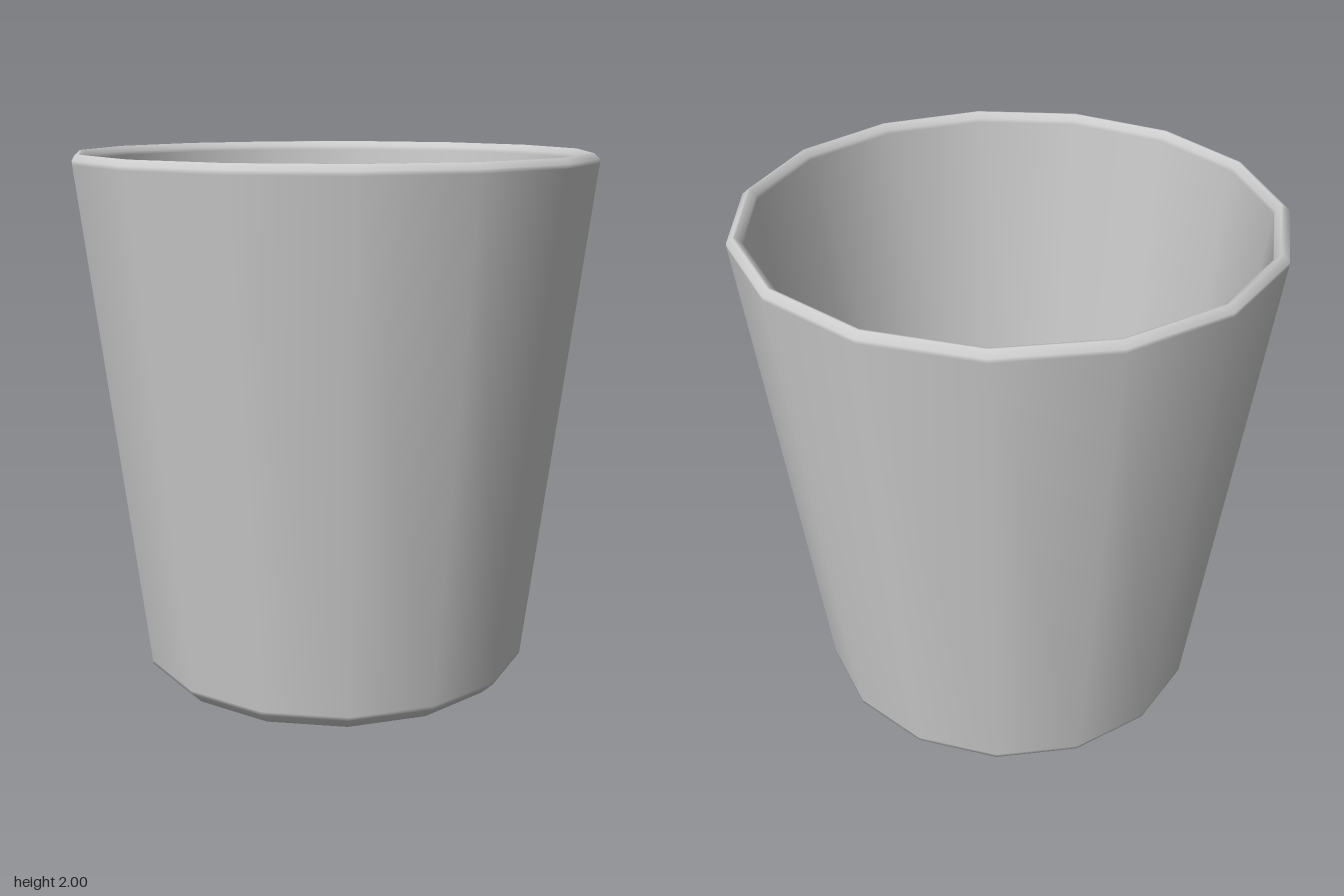
import * as THREE from 'three';

const SIDES = 15;

// Closed wall profile as [radius, height]: underside, outer wall, rim, inner wall, floor.
// Close pairs of points keep the flats and walls evenly shaded beside the soft bevels.
const PROFILE = [
  [0, 0], [0.7, 0], [0.712, 0],
  [0.759, 0.047], [0.761, 0.062],
  [0.982, 1.965], [0.983, 1.98],
  [0.96, 2], [0.952, 2],
  [0.93, 1.98], [0.928, 1.965],
  [0.736, 0.105], [0.735, 0.09],
  [0.715, 0.07], [0.705, 0.07], [0, 0.07],
];

export function createModel() {
  const model = new THREE.Group();
  model.name = 'tumbler';

  // Fifteen-sided tapered cup, with one corner pointing along +x
  const points = PROFILE.map(([r, y]) => new THREE.Vector2(r, y));
  const geometry = new THREE.LatheGeometry(points, SIDES, Math.PI / 2);
  const cup = new THREE.Mesh(geometry, new THREE.MeshStandardMaterial({ color: 0xcccccc }));
  cup.name = 'cup';

  // An odd number of sides reaches further on +x than on -x, so recentre it
  cup.position.x = -0.983 * (1 - Math.cos(Math.PI / SIDES)) / 2;
  model.add(cup);
  return model;
}
